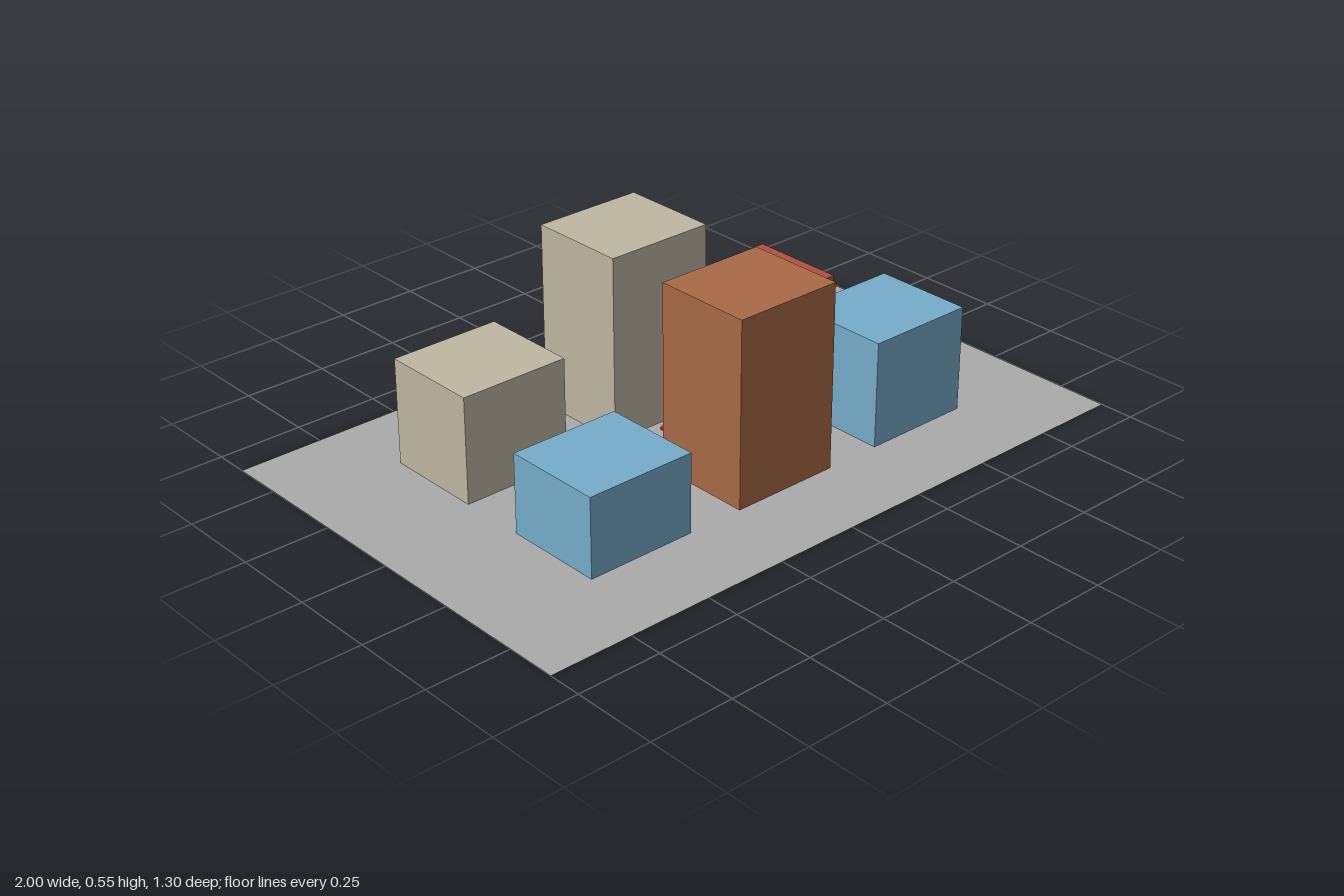
import * as THREE from 'three';

const material = (name, color) => {
  const m = new THREE.MeshStandardMaterial({ color });
  m.name = name;
  return m;
};

export function createModel() {
  const model = new THREE.Group();
  model.name = 'cityBlock';

  const grey = material('asphalt grey', 0xaaaaaa);
  const blue = material('light blue', 0x75adca);
  const tan = material('stone tan', 0xbfb7a3);
  const brown = material('brick brown', 0xa86a46);
  const red = material('brick red', 0xb35040);
  const carRed = material('car red', 0xcc1414);

  // Flat ground sheet
  grey.side = THREE.DoubleSide;
  const ground = new THREE.Mesh(new THREE.PlaneGeometry(2, 1.3).rotateX(-Math.PI / 2), grey);
  ground.name = 'ground';
  model.add(ground);

  // Buildings: name, material, centre x, centre z, height
  const buildings = [
    ['backRightHouse', tan, -0.495, -0.25, 0.315],
    ['backTower', tan, 0.01, -0.25, 0.55],
    ['backLeftHouse', red, 0.52, -0.257, 0.235],
    ['frontRightHouse', blue, -0.493, 0.245, 0.235],
    ['frontTower', brown, 0.01, 0.245, 0.55],
    ['frontLeftHouse', blue, 0.513, 0.245, 0.315],
  ];
  const lift = 0.001; // keeps undersides off the ground sheet
  for (const [name, mat, x, z, height] of buildings) {
    const h = height - lift;
    const building = new THREE.Mesh(new THREE.BoxGeometry(0.333, h, 0.298), mat);
    building.position.set(x, lift + h / 2, z);
    building.name = name;
    model.add(building);
  }

  // Car: side profile with sloped windscreens, extruded across its width
  const profile = new THREE.Shape([
    [-0.024, 0.001], [0.024, 0.001], [0.024, 0.01], [0.013, 0.017], [-0.013, 0.017], [-0.024, 0.01],
  ].map(([x, y]) => new THREE.Vector2(x, y)));
  const carGeometry = new THREE.ExtrudeGeometry(profile, { depth: 0.018, bevelEnabled: false })
    .translate(0, 0, -0.009);

  // Two lanes of cars
  const lanes = [
    { name: 'backLaneCar', z: -0.06, xs: [-0.23, -0.135, 0.005, 0.272, 0.433] },
    { name: 'frontLaneCar', z: 0.054, xs: [-0.315, 0.027, 0.315] },
  ];
  for (const { name, z, xs } of lanes) {
    for (const x of xs) {
      const car = new THREE.Mesh(carGeometry, carRed);
      car.position.set(x, 0, z);
      car.name = name;
      model.add(car);
    }
  }
  return model;
}
